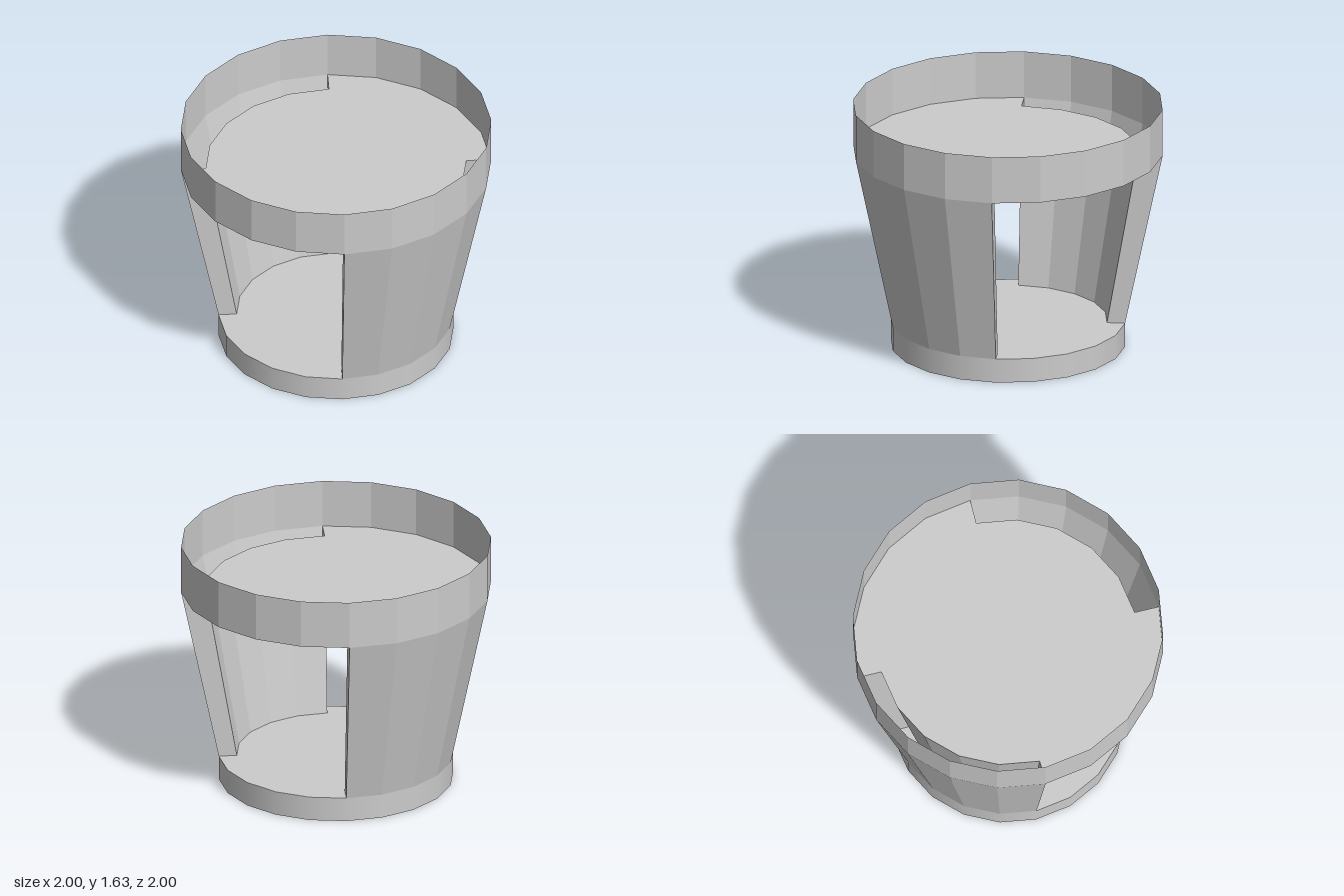
import * as THREE from 'three';

const SIDES = 20;
const BASE_TOP = 0.16, WALL_TOP = 1.315, RIM_TOP = 1.63;
const OUT_LOW = 0.757, OUT_TOP = 1, IN_LOW = 0.64, IN_TOP = 0.84;

const flat = new THREE.MeshStandardMaterial({ color: 0xcccccc, flatShading: true, side: THREE.DoubleSide });
const smooth = new THREE.MeshStandardMaterial({ color: 0xcccccc });

function add(parent, name, geometry, material = flat) {
  const mesh = new THREE.Mesh(geometry, material);
  mesh.name = name;
  parent.add(mesh);
  return mesh;
}

// Open tapered band of the round body, from y0 to y1
function band(rLow, rTop, y0, y1, start = 0, sweep = Math.PI * 2) {
  const segments = Math.round(SIDES * sweep / (Math.PI * 2));
  return new THREE.CylinderGeometry(rTop, rLow, y1 - y0, segments, 1, true, start, sweep)
    .translate(0, (y0 + y1) / 2, 0);
}

// Hollow quarter wall, open at the top, closed by a slanted strip at each end
function quarterWall(name) {
  const wall = new THREE.Group();
  wall.name = name;
  add(wall, 'outerFace', band(OUT_LOW, OUT_TOP, BASE_TOP, WALL_TOP, 0, Math.PI / 2));
  add(wall, 'innerFace', band(IN_LOW, IN_TOP, BASE_TOP, WALL_TOP, 0, Math.PI / 2));
  const strip = new THREE.Shape([
    new THREE.Vector2(IN_LOW, BASE_TOP), new THREE.Vector2(OUT_LOW, BASE_TOP),
    new THREE.Vector2(OUT_TOP, WALL_TOP), new THREE.Vector2(IN_TOP, WALL_TOP),
  ]);
  add(wall, 'endStripLeft', new THREE.ShapeGeometry(strip));
  add(wall, 'endStripFront', new THREE.ShapeGeometry(strip).rotateY(-Math.PI / 2));
  return wall;
}

// Floor of the bowl: full radius over the openings, narrower inside the walls
function floorGeometry() {
  const points = [];
  for (let quarter = 0; quarter < 4; quarter++) {
    const r = quarter % 2 === 0 ? IN_TOP : OUT_TOP;
    for (let i = 0; i <= SIDES / 4; i++) {
      const a = (quarter * SIDES / 4 + i) * Math.PI * 2 / SIDES;
      points.push(new THREE.Vector2(r * Math.sin(a), -r * Math.cos(a)));
    }
  }
  return new THREE.ShapeGeometry(new THREE.Shape(points)).rotateX(-Math.PI / 2).translate(0, WALL_TOP, 0);
}

export function createModel() {
  const model = new THREE.Group();
  model.name = 'openPot';

  // Solid base disc
  add(model, 'base', new THREE.CylinderGeometry(OUT_LOW, OUT_LOW, BASE_TOP, SIDES)
    .translate(0, BASE_TOP / 2, 0), smooth);

  // Two opposite quarter walls
  model.add(quarterWall('frontLeftWall'));
  const back = quarterWall('backRightWall');
  back.rotation.y = Math.PI;
  model.add(back);

  // Shallow bowl on top
  add(model, 'bowlFloor', floorGeometry());
  add(model, 'rim', band(OUT_TOP, OUT_TOP, WALL_TOP, RIM_TOP));
  return model;
}
